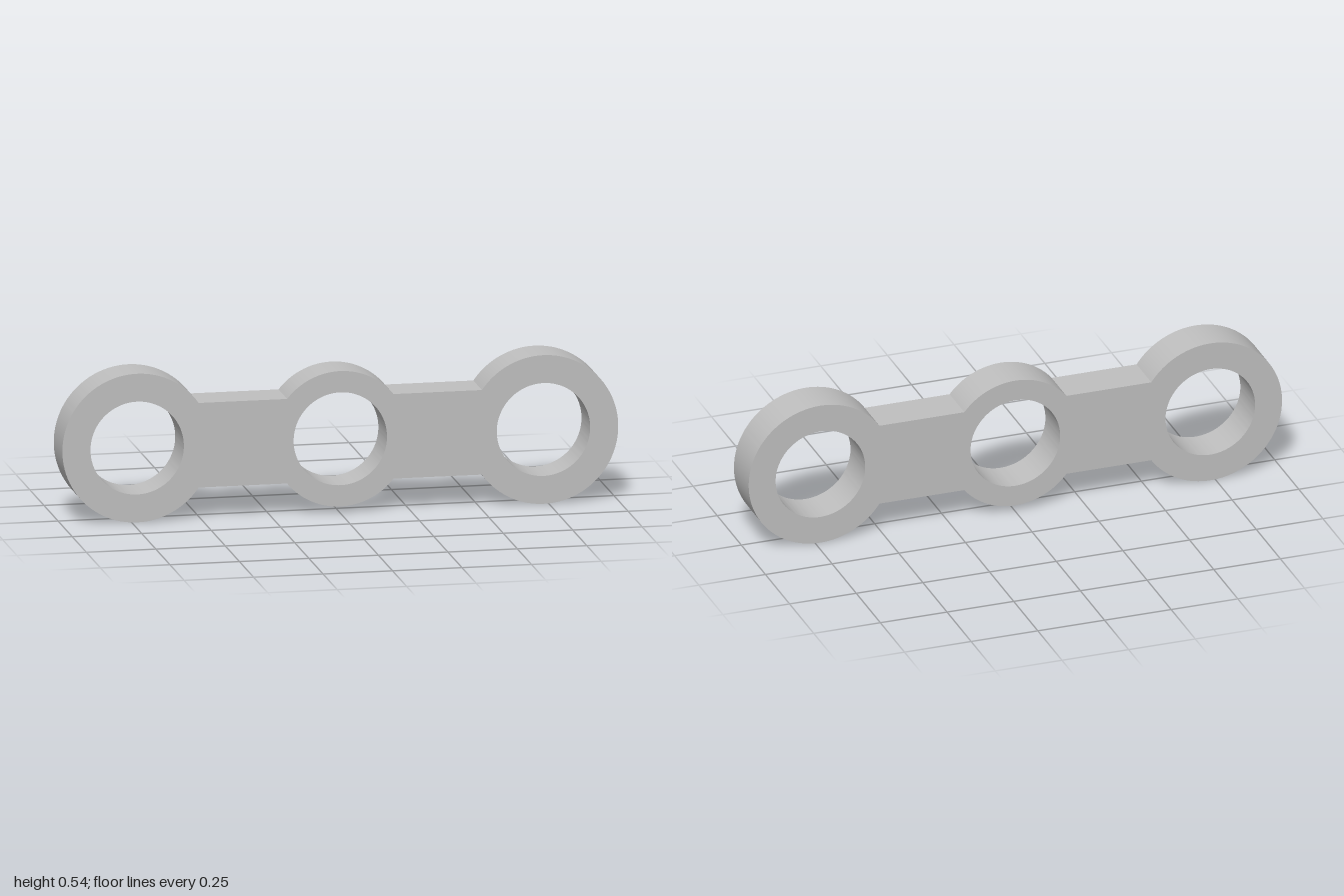
import * as THREE from 'three';
import { toCreasedNormals } from 'three/addons/utils/BufferGeometryUtils.js';

const END_X = 0.731, END_R = 0.269, MID_R = 0.245, HOLE_R = 0.168;
const BAR_HALF = 0.153, DEPTH = 0.153;

export function createModel() {
  const grey = new THREE.MeshStandardMaterial({ color: 0xbfbfbf });
  grey.name = 'plain grey';

  // angles at which the straight bar edges meet the end and middle rings
  const a = Math.asin(BAR_HALF / END_R);
  const b = Math.asin(BAR_HALF / MID_R);

  // outline, counter-clockwise; straight edges join consecutive arcs
  const outline = new THREE.Shape();
  outline.absarc(END_X, 0, END_R, -Math.PI + a, Math.PI - a, false);
  outline.absarc(0, 0, MID_R, b, Math.PI - b, false);
  outline.absarc(-END_X, 0, END_R, a, 2 * Math.PI - a, false);
  outline.absarc(0, 0, MID_R, Math.PI + b, 2 * Math.PI - b, false);
  outline.closePath();

  // three equal bores
  for (const x of [-END_X, 0, END_X]) {
    const hole = new THREE.Path();
    hole.absarc(x, 0, HOLE_R, 0, 2 * Math.PI, true);
    outline.holes.push(hole);
  }

  const plate = new THREE.ExtrudeGeometry(outline, {
    depth: DEPTH, bevelEnabled: false, curveSegments: 64,
  });
  plate.translate(0, END_R, -DEPTH / 2);

  const link = new THREE.Mesh(toCreasedNormals(plate, 0.5), grey);
  link.name = 'threeHoleLink';

  const group = new THREE.Group();
  group.name = 'linkPlate';
  group.add(link);
  return group;
}
